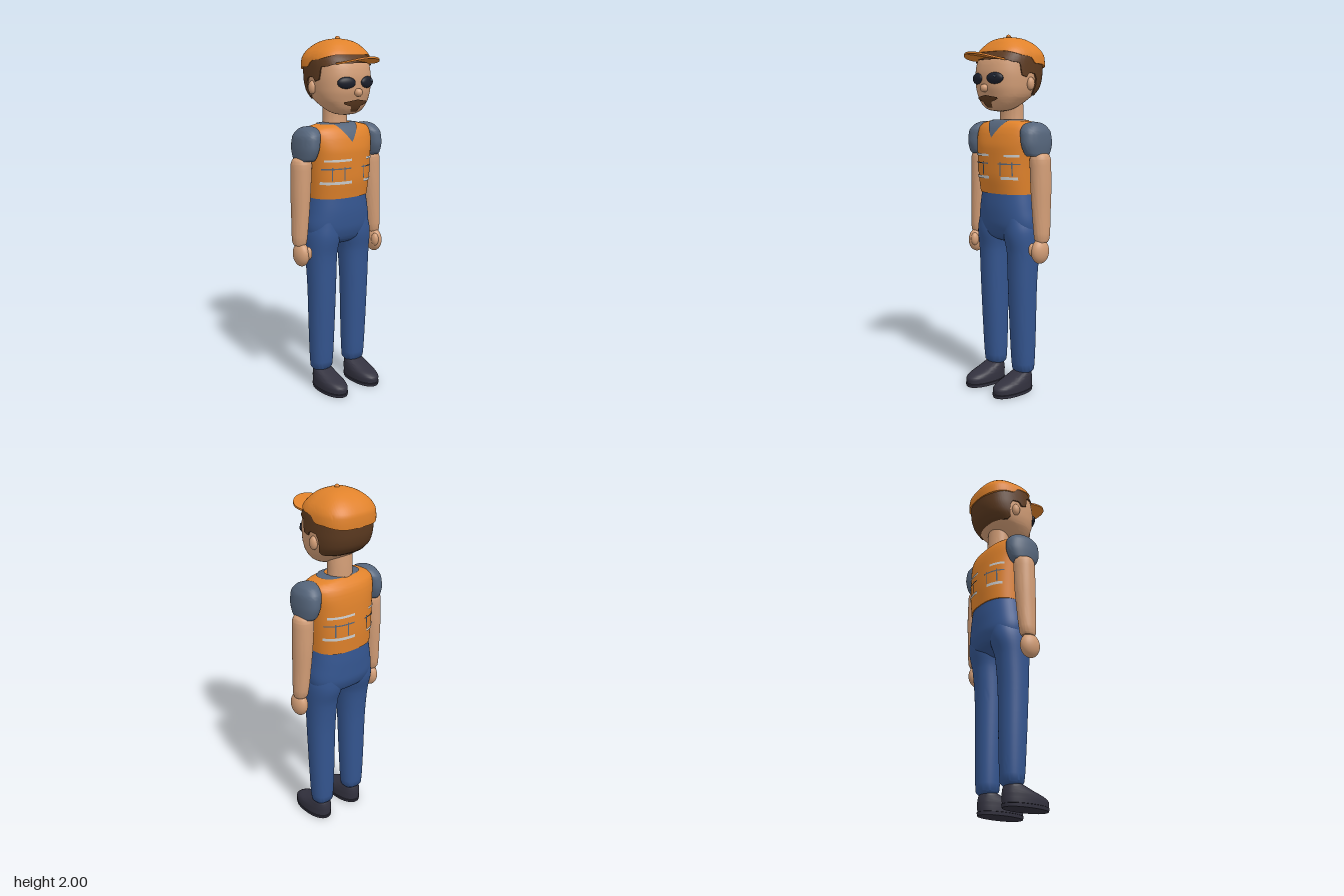
import * as THREE from 'three';
import { mergeVertices, toCreasedNormals } from 'three/addons/utils/BufferGeometryUtils.js';

const colour = (name, hex) => {
  const m = new THREE.MeshStandardMaterial({ color: hex });
  m.name = name;
  return m;
};

// Profile rows, bottom to top: [y, half width, z front, z back, x centre]
const HEAD = [[1.583, 0.015, 0.025, -0.005], [1.59, 0.06, 0.06, -0.03], [1.61, 0.1, 0.085, -0.07],
  [1.64, 0.128, 0.102, -0.12], [1.67, 0.148, 0.112, -0.16], [1.72, 0.162, 0.124, -0.205],
  [1.78, 0.167, 0.126, -0.22], [1.84, 0.166, 0.116, -0.223], [1.88, 0.163, 0.095, -0.22],
  [1.91, 0.145, 0.07, -0.195], [1.94, 0.1, 0.03, -0.15]];
const CAP = [[1.78, 0.178, 0.112, -0.234], [1.84, 0.178, 0.112, -0.235], [1.88, 0.174, 0.107, -0.232],
  [1.91, 0.161, 0.092, -0.216], [1.94, 0.133, 0.065, -0.188], [1.965, 0.097, 0.035, -0.15],
  [1.98, 0.057, -0.005, -0.11], [1.988, 0.002, -0.053, -0.057]];
const VEST = [[1.132, 0.18, 0.07, -0.2], [1.25, 0.187, 0.085, -0.206], [1.38, 0.198, 0.085, -0.2],
  [1.45, 0.207, 0.072, -0.19], [1.49, 0.205, 0.056, -0.175], [1.515, 0.185, 0.038, -0.152],
  [1.53, 0.13, 0.02, -0.135], [1.536, 0.07, 0, -0.12]];
const NECK = [[1.5, 0.075, -0.012, -0.137], [1.57, 0.072, -0.015, -0.135], [1.66, 0.072, -0.01, -0.13]];
const PELVIS = [[0.853, 0.02, -0.03, -0.09], [0.87, 0.09, 0.015, -0.125], [0.9, 0.19, 0.045, -0.178],
  [0.97, 0.205, 0.066, -0.2], [1.05, 0.193, 0.07, -0.2], [1.14, 0.177, 0.065, -0.195]];
const LEG = [[0.11, 0.048, -0.02, -0.1, 0.117], [0.13, 0.063, 0, -0.118, 0.117], [0.3, 0.071, 0.013, -0.125, 0.117],
  [0.6, 0.079, 0.028, -0.13, 0.117], [0.8, 0.086, 0.036, -0.147, 0.117], [0.92, 0.098, 0.053, -0.178, 0.107],
  [1.0, 0.085, 0.05, -0.18, 0.1]];
const SLEEVE = [[1.345, 0.042, 0.015, -0.125, 0.228], [1.36, 0.047, 0.03, -0.138, 0.226], [1.42, 0.056, 0.048, -0.155, 0.22],
  [1.47, 0.058, 0.045, -0.15, 0.213], [1.505, 0.05, 0.02, -0.125, 0.203], [1.522, 0.032, -0.015, -0.095, 0.198],
  [1.528, 0.005, -0.045, -0.06, 0.195]];
const ARM = [[0.88, 0.032, -0.017, -0.088, 0.266], [0.9, 0.039, -0.01, -0.1, 0.265], [1.05, 0.047, -0.003, -0.113, 0.256],
  [1.2, 0.054, 0, -0.12, 0.249], [1.32, 0.056, 0, -0.12, 0.244], [1.35, 0.048, -0.008, -0.112, 0.243],
  [1.366, 0.02, -0.035, -0.085, 0.243]];
const SHOE = [[0.02, 0.066, 0.154, -0.11, 0.117], [0.045, 0.067, 0.157, -0.112, 0.117], [0.065, 0.066, 0.135, -0.112, 0.117],
  [0.09, 0.06, 0.065, -0.108, 0.117], [0.11, 0.054, 0.01, -0.1, 0.117], [0.122, 0.045, -0.02, -0.09, 0.117]];
const SOLE = [[0, 0.066, 0.155, -0.111, 0.117], [0.018, 0.069, 0.16, -0.115, 0.117]];

// Smooth monotone reading of a profile at height y
function at(rows, y) {
  let i = 0;
  while (i < rows.length - 2 && y > rows[i + 1][0]) i++;
  const h = rows[i + 1][0] - rows[i][0];
  const t = THREE.MathUtils.clamp((y - rows[i][0]) / h, 0, 1);
  const slope = (k, c) => ((rows[k + 1][c] ?? 0) - (rows[k][c] ?? 0)) / (rows[k + 1][0] - rows[k][0]);
  const tangent = (k, c) => {
    if (k === 0) return slope(0, c);
    if (k === rows.length - 1) return slope(k - 1, c);
    const a = slope(k - 1, c), b = slope(k, c);
    return a * b > 0 ? 2 * a * b / (a + b) : 0;
  };
  const [w, f, b, cx] = [1, 2, 3, 4].map(c => {
    const p = rows[i][c] ?? 0, q = rows[i + 1][c] ?? 0, t2 = t * t, t3 = t2 * t;
    return p * (2 * t3 - 3 * t2 + 1) + q * (3 * t2 - 2 * t3)
      + h * (tangent(i, c) * (t3 - 2 * t2 + t) + tangent(i + 1, c) * (t3 - t2));
  });
  return { w, d: (f - b) / 2, cz: (f + b) / 2, cx };
}

// Point on a profile: angle 0 is the front, growing towards +x
function ring(rows, angle, y, n, off = 0) {
  const p = at(rows, y), s = Math.sin(angle), c = Math.cos(angle);
  const pow = v => Math.sign(v) * Math.abs(v) ** (2 / n);
  return [p.cx + (p.w + off) * pow(s), y, p.cz + (p.d + off) * pow(c)];
}

// Grid surface from fn(u, v)
function grid(fn, nu, nv) {
  const pos = [], index = [];
  for (let j = 0; j <= nv; j++) for (let i = 0; i <= nu; i++) pos.push(...fn(i / nu, j / nv, j));
  for (let j = 0; j < nv; j++) for (let i = 0; i < nu; i++) {
    const a = j * (nu + 1) + i, d = a + nu + 1;
    index.push(a, a + 1, d, a + 1, d + 1, d);
  }
  const g = new THREE.BufferGeometry();
  g.setAttribute('position', new THREE.Float32BufferAttribute(pos, 3));
  g.setIndex(index);
  return toCreasedNormals(mergeVertices(g, 1e-5), 0.9);
}

// Closed body through all rows of a profile
function loft(rows, n = 2.2, seg = 40, sub = 5) {
  const steps = (rows.length - 1) * sub;
  return grid((u, v, j) => {
    const k = THREE.MathUtils.clamp(j - 1, 0, steps), i = Math.min(Math.floor(k / sub), rows.length - 2);
    const y = THREE.MathUtils.lerp(rows[i][0], rows[i + 1][0], (k - i * sub) / sub);
    const p = at(rows, y);
    return j === 0 || j === steps + 2 ? [p.cx, y, p.cz] : ring(rows, u * Math.PI * 2, y, n);
  }, seg, steps + 2);
}

// Shell around a profile between two edge heights, with a turned-in lower rim
function shell(rows, n, lo, hi, off) {
  return grid((u, v, j) => {
    const a = u * Math.PI * 2, z = ring(HEAD, a, 1.8, n)[2];
    const t = Math.sin(Math.max(0, j - 1) / 24 * Math.PI / 2);
    return ring(rows, a, THREE.MathUtils.lerp(lo(z), hi, t), n, j === 0 ? off - 0.015 : off);
  }, 160, 25);
}

// Thin plate laid on the front (or back) of a profile; fn(u, v) gives x, y
function plate(rows, n, fn, off, back = false, nu = 16, nv = 6) {
  return grid((u, v) => {
    const [x, y] = fn(u, v), p = at(rows, y);
    const r = Math.min(1, Math.abs(x) / (p.w + off));
    const z = (p.d + off) * (1 - r ** n) ** (1 / n);
    return back ? [-x, y, p.cz - z] : [x, y, p.cz + z];
  }, nu, nv);
}

// Edge height from a table of [z, y], z falling
const edge = table => z => {
  for (let i = 0; i < table.length - 1; i++) {
    const [z0, y0] = table[i], [z1, y1] = table[i + 1];
    if (z >= z1) return THREE.MathUtils.lerp(y0, y1, THREE.MathUtils.clamp((z0 - z) / (z0 - z1), 0, 1));
  }
  return table[table.length - 1][1];
};

export function createModel() {
  const model = new THREE.Group();
  model.name = 'worker';
  const orange = colour('orange', 0xe0822b), skin = colour('skin', 0xd29d76), brown = colour('brown', 0x5c3a20);
  const denim = colour('denim', 0x34558f), shirt = colour('shirt grey', 0x55657b), dark = colour('shoe dark', 0x33323f);
  const reflective = colour('reflective', 0xcfd0d0), eye = colour('eye', 0x1c202c);
  const add = (name, geo, mat, parent = model) => {
    const m = new THREE.Mesh(geo, mat);
    m.name = name;
    parent.add(m);
    return m;
  };
  const ball = (name, mat, p, s) => {
    const m = add(name, new THREE.SphereGeometry(1, 28, 18), mat);
    m.position.set(...p);
    m.scale.set(...s);
    return m;
  };

  // Head, hair and cap
  add('head', loft(HEAD, 2.4, 56), skin);
  add('neck', loft(NECK, 2), skin);
  add('hair', shell(HEAD, 2.4, edge([[0.1, 1.86], [0.06, 1.845], [0.02, 1.84], [0.003, 1.775], [-0.03, 1.765],
    [-0.04, 1.79], [-0.085, 1.785], [-0.105, 1.75], [-0.11, 1.69], [-0.14, 1.67], [-0.23, 1.67]]), 1.91, 0.008), brown);
  add('cap', shell(CAP, 2.7, edge([[0.1, 1.902], [0.02, 1.88], [-0.04, 1.875], [-0.07, 1.84], [-0.13, 1.838], [-0.21, 1.82]]),
    1.988, 0), orange);
  ball('capButton', orange, [0, 1.988, -0.05], [0.013, 0.012, 0.013]);
  const brimGeo = new THREE.CylinderGeometry(0.12, 0.12, 0.01, 48);
  const bp = brimGeo.attributes.position;
  for (let i = 0; i < bp.count; i++) bp.setY(i, bp.getY(i) - 1.1 * bp.getX(i) ** 2);
  brimGeo.computeVertexNormals();
  const brim = add('capBrim', brimGeo, orange);
  brim.position.set(0, 1.877, 0.111);
  brim.rotation.x = -0.12;

  // Face
  ball('nose', skin, [0, 1.708, 0.128], [0.023, 0.022, 0.022]);
  add('moustache', plate(HEAD, 2.4, (u, v) => {
    const a = Math.abs(2 * u - 1);
    return [(u - 0.5) * 0.155, THREE.MathUtils.lerp(1.632 + 0.018 * a * a, 1.671 - 0.012 * a, v)];
  }, 0.008), brown);
  add('goatee', plate(HEAD, 2.4, (u, v) => [(2 * u - 1) * (0.022 + 0.012 * v), 1.605 + 0.03 * v], 0.007), brown);

  // Vest, shirt neckline and reflective bands
  add('vest', loft(VEST, 2.5, 56), orange);
  add('shirtNeckline', plate(VEST, 2.5, (u, v) => [(2 * u - 1) * 0.075 * v, 1.437 + 0.096 * v], 0.004, false, 16, 24), shirt).position.y = 0.003;
  add('shirtCollar', grid((u, v) => ring(VEST, u * Math.PI * 2, 1.531 + 0.005 * v, 2.5, 0.002), 48, 4), shirt).position.y = 0.003;
  const bands = [[-0.165, -0.01, 1.338, 1.351], [0.1, 0.175, 1.338, 1.351], [-0.175, -0.01, 1.214, 1.23], [0.08, 0.165, 1.214, 1.23]];
  const seams = [[-0.175, -0.015, 1.296, 1.303], [0.06, 0.175, 1.296, 1.303],
    ...[-0.13, -0.06, 0.075, 0.14].map(x => [x, x + 0.006, 1.235, 1.31])];
  const lay = (name, list, mat) => list.forEach(([x0, x1, y0, y1]) => [false, true].forEach(back =>
    add(name, plate(VEST, 2.5, (u, v) => [x0 + (x1 - x0) * u, y0 + (y1 - y0) * v], 0.004, back, 14, 4), mat)));
  lay('reflectiveBand', bands, reflective);
  lay('vestSeam', seams, shirt);

  // Trousers
  add('trouserHips', loft(PELVIS, 2.3, 56), denim);

  // Paired parts; profiles mirrored by flipping x centre
  for (const s of [1, -1]) {
    const side = s > 0 ? 'left' : 'right';
    const mirrored = rows => rows.map(([y, w, f, b, x]) => [y, w, f, b, x * s]);
    add(side + 'TrouserLeg', loft(mirrored(LEG)), denim);
    add(side + 'Sleeve', loft(mirrored(SLEEVE)), shirt);
    add(side + 'Arm', loft(mirrored(ARM), 2), skin);
    add(side + 'Shoe', loft(mirrored(SHOE)), dark);
    add(side + 'Sole', loft(mirrored(SOLE)), dark);
    ball(side + 'Hand', skin, [s * 0.265, 0.828, -0.042], [0.039, 0.068, 0.058]);
    ball(side + 'Thumb', skin, [s * 0.243, 0.837, -0.005], [0.02, 0.037, 0.024]);
    ball(side + 'Ear', skin, [s * 0.166, 1.732, -0.06], [0.02, 0.036, 0.024]);
    ball(side + 'Eye', eye, [s * 0.07, 1.76, 0.113], [0.052, 0.031, 0.02]).rotation.y = s * 0.28;
    ball(side + 'EyeGlint', shirt, [s * 0.07 + 0.018, 1.77, 0.13], [0.008, 0.006, 0.005]);
  }
  return model;
}
